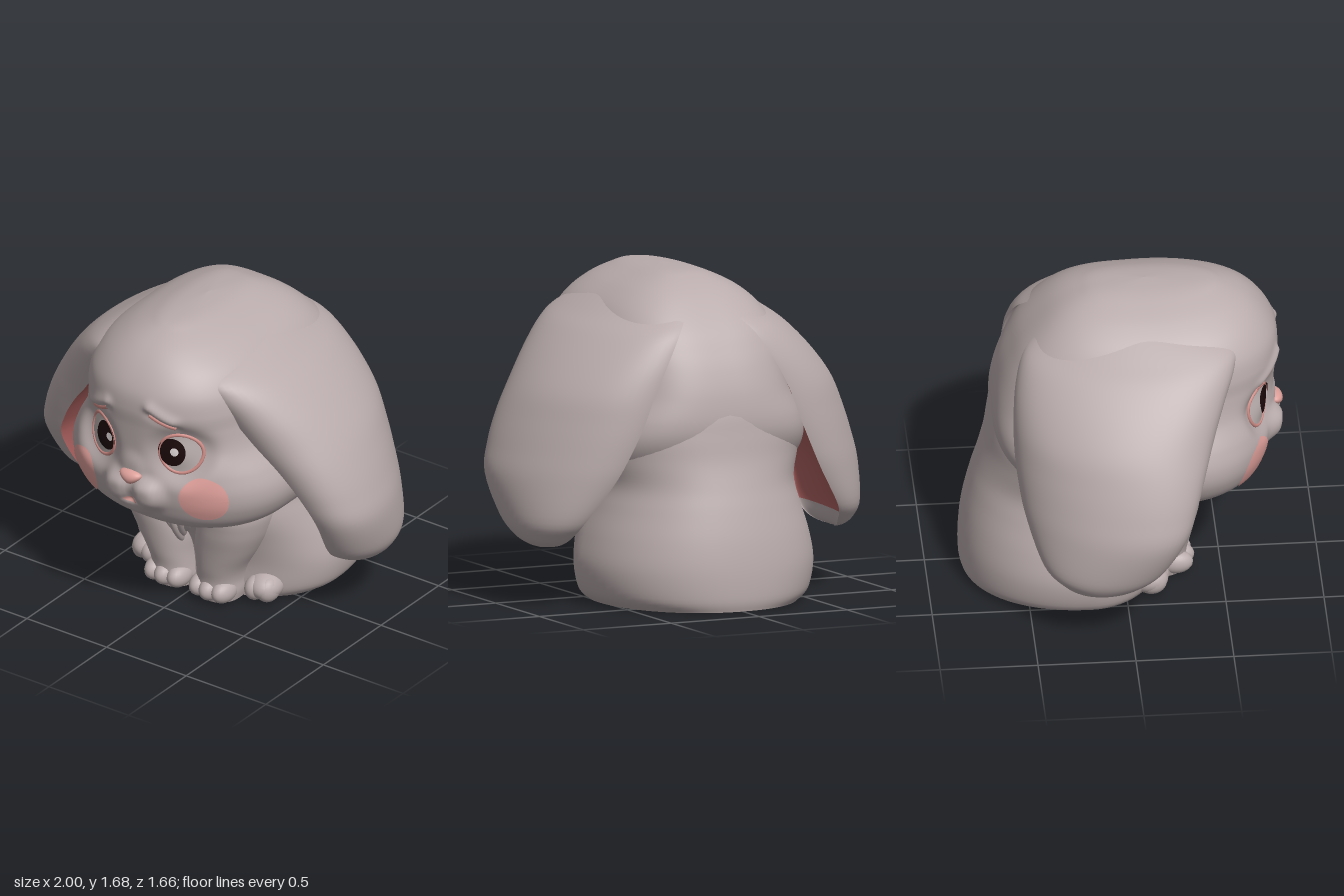
import * as THREE from 'three';

const mat = (name, color) => Object.assign(new THREE.MeshStandardMaterial({ color }), { name });
const fur = mat('fur grey', 0xb9abab);
const blush = mat('blush pink', 0xe0a09b);
const rimPink = mat('eyelid pink', 0xcf8c86);
const nosePink = mat('nose pink', 0xdc9f99);
const earPink = mat('inner ear rose', 0xac615f);
const basePink = mat('underside', 0xd7a4a2);
const eyeGrey = mat('eyeball', 0xbbb0af);
const dark = mat('iris dark', 0x1c0a0c);
const glint = mat('eye glint', 0xe6dddd);

// Smooth interpolation through a table of rows, u in 0..1
function sample(rows, u) {
  const t = u * (rows.length - 1), i = Math.min(Math.floor(t), rows.length - 2), f = t - i;
  const at = k => rows[Math.max(0, Math.min(rows.length - 1, k))];
  return rows[i].map((_, c) => {
    const [a, b, d, e] = [at(i - 1)[c], at(i)[c], at(i + 1)[c], at(i + 2)[c]];
    return b + 0.5 * f * (d - a + f * (2 * a - 5 * b + 4 * d - e + f * (3 * (b - d) + e - a)));
  });
}

// Closed skin through rings stacked upwards; pick() may send a cell to material group 1
function loft(nu, nv, point, pick = () => 0) {
  const pos = [], cells = [[], []];
  for (let i = 0; i <= nu; i++)
    for (let j = 0; j < nv; j++) pos.push(...point(i / nu, j / nv));
  for (let i = 0; i < nu; i++)
    for (let j = 0; j < nv; j++) {
      const a = i * nv + j, b = i * nv + (j + 1) % nv, c = a + nv, d = b + nv;
      cells[pick(i, j, pos[a * 3 + 1])].push(a, c, b, b, c, d);
    }
  const g = new THREE.BufferGeometry();
  g.setAttribute('position', new THREE.Float32BufferAttribute(pos, 3));
  g.setIndex([...cells[0], ...cells[1]]);
  g.addGroup(0, cells[0].length, 0);
  g.addGroup(cells[0].length, cells[1].length, 1);
  g.computeVertexNormals();
  return g;
}

function mirrored(geo) {
  const g = geo.clone(), p = g.attributes.position, ix = g.index.array;
  for (let i = 0; i < p.count; i++) p.setX(i, -p.getX(i));
  for (let i = 0; i < ix.length; i += 3) [ix[i + 1], ix[i + 2]] = [ix[i + 2], ix[i + 1]];
  g.computeVertexNormals();
  return g;
}

// Rounded ring from a row: y, centre x, half width, z of widest point, front z, back z
const pw = (v, n) => Math.sign(v) * Math.abs(v) ** (2 / n);
function ring(rows, n, backN = n) {
  return (u, v) => {
    const [y, cx, rx, mid, front, back] = sample(rows, u);
    const c = Math.cos(v * Math.PI * 2), s = Math.sin(v * Math.PI * 2), e = s > 0 ? n : backN;
    return [cx + rx * pw(c, e), Math.max(0, y), mid + (s > 0 ? front - mid : mid - back) * pw(s, e)];
  };
}

// Slightly uneven eyes; each brow runs from its inner to its outer end
const eyes = [
  { side: 'left', x: 0.238, y: 1.072, ix: 0.205, iy: 1.08, gx: 0.224, brow: [[0.115, 1.3], [0.235, 1.235]] },
  { side: 'right', x: -0.245, y: 1.03, ix: -0.208, iy: 1.043, gx: -0.175, brow: [[-0.155, 1.255], [-0.31, 1.17]] },
];

const HEAD_N = 2.25;
const headRows = [
  [0.535, 0, 0, 0.2, 0.2, 0.2], [0.545, 0, 0.26, 0.2, 0.46, -0.2], [0.58, 0, 0.43, 0.22, 0.6, -0.4],
  [0.65, 0, 0.55, 0.23, 0.7, -0.53], [0.75, 0, 0.615, 0.24, 0.745, -0.6], [0.85, 0, 0.63, 0.24, 0.765, -0.65],
  [0.95, 0, 0.6, 0.24, 0.77, -0.665], [1.08, 0, 0.53, 0.23, 0.78, -0.65], [1.2, 0, 0.505, 0.22, 0.79, -0.615],
  [1.3, 0, 0.5, 0.21, 0.8, -0.57], [1.4, 0, 0.475, 0.2, 0.785, -0.51], [1.5, 0, 0.41, 0.18, 0.725, -0.42],
  [1.58, 0, 0.31, 0.14, 0.64, -0.325], [1.635, 0, 0.2, 0.13, 0.53, -0.22], [1.665, 0, 0.11, 0.12, 0.42, -0.11],
  [1.678, 0, 0, 0.12, 0.12, 0.12],
];
const headTable = Array.from({ length: 201 }, (_, i) => sample(headRows, i / 200));

// Sculpted face relief: [x, y, radius x, radius y, height]
const bumps = [
  [0.092, 0.815, 0.082, 0.088, 0.062], [-0.092, 0.815, 0.082, 0.088, 0.062],
  [0, 0.715, 0.085, 0.045, 0.035], [0, 0.93, 0.075, 0.1, 0.02],
  ...eyes.map(e => [e.x * 1.08, e.y, 0.145, 0.15, -0.065]),
];
// Distance from (x, y) to a brow line
function browDistance([[ax, ay], [bx, by]], x, y) {
  const dx = bx - ax, dy = by - ay;
  const t = Math.max(0, Math.min(1, ((x - ax) * dx + (y - ay) * dy) / (dx * dx + dy * dy)));
  return Math.hypot(x - ax - t * dx, y - ay - t * dy);
}
function relief(x, y) {
  let z = 0;
  for (const [cx, cy, rx, ry, h] of bumps) z += h * Math.exp(-((((x - cx) / rx) ** 2 + ((y - cy) / ry) ** 2) ** 2));
  for (const e of eyes)
    z += 0.02 * Math.exp(-((browDistance(e.brow, x, y - 0.04) / 0.03) ** 2))
      - 0.008 * Math.exp(-((browDistance(e.brow, x, y) / 0.025) ** 2));
  return z;
}

// Front surface of the head at (x, y)
function headZ(x, y) {
  const i = Math.max(1, headTable.findIndex(r => r[0] >= y));
  const a = headTable[i - 1], b = headTable[i], f = (y - a[0]) / (b[0] - a[0]);
  const [rx, mid, front] = [2, 3, 4].map(k => a[k] + f * (b[k] - a[k]));
  return mid + (front - mid) * Math.max(0, 1 - Math.abs(x / rx) ** HEAD_N) ** (1 / HEAD_N) + relief(x, y);
}

export function createModel() {
  const model = new THREE.Group();
  model.name = 'rabbit';
  const add = (name, geo, material) => {
    const m = new THREE.Mesh(geo, material);
    m.name = name;
    model.add(m);
    return m;
  };
  const ball = (name, material, [x, y, z], [a, b, c]) => {
    const m = add(name, new THREE.SphereGeometry(1, 24, 16), material);
    m.position.set(x, y, z);
    m.scale.set(a, b, c);
    return m;
  };
  // Disc that hugs a surface zAt(x, y)
  const decal = (name, material, cx, cy, rx, ry, zAt, off) => {
    const g = new THREE.RingGeometry(0, 1, 40, 10), p = g.attributes.position;
    for (let i = 0; i < p.count; i++) {
      const x = cx + p.getX(i) * rx, y = cy + p.getY(i) * ry;
      p.setXYZ(i, x, y, zAt(x, y) + off);
    }
    g.computeVertexNormals();
    return add(name, g, material);
  };
  const tube = (name, material, pts, r, closed = false) =>
    add(name, new THREE.TubeGeometry(new THREE.CatmullRomCurve3(
      pts.map(p => new THREE.Vector3(...p)), closed), 48, r, 10, closed), material);
  // Flat underside closing a loft whose first ring lies on the ground
  const sole = (name, point) => {
    const pts = Array.from({ length: 48 }, (_, j) => point(0, j / 48)).map(p => new THREE.Vector2(p[0], p[2]));
    add(name, new THREE.ShapeGeometry(new THREE.Shape(pts)).rotateX(Math.PI / 2), basePink);
  };

  // Body, flowing up into the nape behind the head
  const bodyRing = ring([
    [0, 0, 0.52, -0.2, 0.2, -0.815], [0.06, 0, 0.59, -0.2, 0.2, -0.828], [0.2, 0, 0.62, -0.2, 0.21, -0.825],
    [0.35, 0, 0.595, -0.2, 0.27, -0.805], [0.5, 0, 0.55, -0.19, 0.36, -0.77], [0.62, 0, 0.525, -0.18, 0.38, -0.735],
    [0.75, 0, 0.56, -0.17, 0.32, -0.7], [0.88, 0, 0.585, -0.16, 0.25, -0.68], [1.02, 0, 0.54, -0.16, 0.2, -0.655],
    [1.2, 0, 0.4, -0.16, 0.1, -0.58],
  ], 2.1, 2.15);
  add('body', loft(48, 64, bodyRing), fur);
  sole('bodyUnderside', bodyRing);

  // Head with sculpted face
  const headRing = ring(headRows, HEAD_N, 3.2);
  add('head', loft(180, 220, (u, v) => {
    const [x, y, z] = headRing(u, v);
    return [x, y, v > 0 && v < 0.5 ? z + relief(x, y) : z];
  }), fur);

  // Ears: y, outer x, front rim x, back rim x, front z, back z
  const earRows = [
    [0.302, 0.835, 0.834, 0.833, -0.16, -0.18], [0.318, 0.88, 0.8, 0.79, -0.03, -0.29], [0.36, 0.93, 0.78, 0.76, 0.075, -0.37],
    [0.45, 0.972, 0.79, 0.72, 0.175, -0.455], [0.65, 0.998, 0.8, 0.59, 0.285, -0.53], [0.8, 0.965, 0.74, 0.51, 0.34, -0.56],
    [0.95, 0.91, 0.645, 0.44, 0.39, -0.575], [1.1, 0.835, 0.525, 0.38, 0.445, -0.575], [1.25, 0.725, 0.43, 0.3, 0.505, -0.56],
    [1.38, 0.6, 0.34, 0.22, 0.56, -0.52], [1.46, 0.49, 0.26, 0.15, 0.565, -0.45], [1.53, 0.38, 0.18, 0.08, 0.44, -0.37],
    [1.59, 0.27, 0.08, 0.02, 0.25, -0.28],
  ];
  const earPoint = (u, v) => {
    const [y, xo, xf, xb, zf, zb] = sample(earRows, u);
    const a = (v * 2 - 0.5) * Math.PI, s = Math.sin(a), c = Math.cos(a);
    const mid = (xf + xb) / 2, tilt = (xf - xb) / 2;
    const bulge = Math.sqrt(Math.max(0, (xo - mid) ** 2 - tilt ** 2));
    const x = mid + tilt * s + bulge * (c > 0 ? pw(c, s > 0 ? 2.3 : 2) : -0.12 * c);
    return [x, y, (zf + zb) / 2 + (zf - zb) / 2 * s];
  };
  const earGeo = loft(60, 64, earPoint, (i, j, y) => (j >= 33 && j < 60 && y > 0.4 && y < 1.3 ? 1 : 0));
  add('leftEar', earGeo, [fur, earPink]);
  add('rightEar', mirrored(earGeo), [fur, earPink]);

  // Front legs, paws and hind feet
  const legRing = ring([
    [0, 0.14, 0.11, 0.19, 0.31, 0.05], [0.05, 0.14, 0.122, 0.19, 0.325, 0.04], [0.12, 0.142, 0.122, 0.19, 0.328, 0.02],
    [0.2, 0.155, 0.134, 0.19, 0.345, 0.01], [0.32, 0.185, 0.172, 0.18, 0.365, 0], [0.45, 0.225, 0.19, 0.16, 0.385, -0.02],
    [0.58, 0.25, 0.18, 0.15, 0.38, -0.02], [0.68, 0.25, 0.08, 0.15, 0.25, 0.05],
  ], 2.2);
  const legGeo = loft(36, 40, legRing);
  for (const s of [1, -1]) {
    const side = s > 0 ? 'left' : 'right';
    add(side + 'FrontLeg', s > 0 ? legGeo : mirrored(legGeo), fur);
    for (let k = -1; k <= 1; k++)
      ball(side + 'FrontToe', fur, [s * (0.14 + k * 0.07), 0.063, 0.265 + (k ? 0 : 0.012)], [0.056, 0.063, 0.09]);
    const hind = ball(side + 'HindFoot', fur, [s * 0.355, 0.078, 0.1], [0.092, 0.077, 0.118]);
    hind.rotation.y = s * 0.3;
    ball(side + 'HindToe', fur, [s * 0.325, 0.069, 0.145], [0.056, 0.068, 0.078]);
    ball(side + 'HindToe', fur, [s * 0.39, 0.072, 0.13], [0.056, 0.071, 0.078]);
  }
  sole('leftPawUnderside', legRing);
  sole('rightPawUnderside', (u, v) => { const p = legRing(u, 1 - v); return [-p[0], p[1], p[2]]; });

  // Chest ruff of overlapping tufts
  for (let k = -4; k <= 4; k++) {
    const a = Math.abs(k);
    const tuft = ball('chestTuft', fur, [k * 0.034, 0.44 + a * 0.018, 0.395 - a * 0.006],
      [0.028, 0.13 - a * 0.009, 0.034]);
    tuft.rotation.set(0.45, 0, -k * 0.24);
  }

  // Eyes: rim, iris, glint and brow crease
  for (const e of eyes) {
    const rx = 0.1, ry = 0.11;
    const eyeZ = (x, y) => headZ(x, y) + 0.03 * Math.max(0, 1 - ((x - e.x) / rx) ** 2 - ((y - e.y) / ry) ** 2);
    const rim = Array.from({ length: 24 }, (_, i) => {
      const a = i / 24 * Math.PI * 2, x = e.x + rx * Math.cos(a), y = e.y + ry * Math.sin(a);
      return [x, y, headZ(x, y) + 0.002];
    });
    const [[ax, ay], [bx, by]] = e.brow;
    const crease = [0, 0.25, 0.5, 0.75, 1].map(t => {
      const x = ax + t * (bx - ax), y = ay + t * (by - ay);
      return [x, y, headZ(x, y) - 0.002];
    });
    decal(e.side + 'Eyeball', eyeGrey, e.x, e.y, rx, ry, eyeZ, 0.006);
    decal(e.side + 'Iris', dark, e.ix, e.iy, 0.069, 0.08, eyeZ, 0.011);
    decal(e.side + 'Glint', glint, e.gx, e.iy + 0.008, 0.021, 0.023, eyeZ, 0.016);
    tube(e.side + 'EyeRim', rimPink, rim, 0.01, true);
    tube(e.side + 'BrowCrease', rimPink, crease, 0.013);
  }

  // Cheeks
  decal('leftBlush', blush, 0.375, 0.835, 0.113, 0.125, headZ, 0.009);
  decal('rightBlush', blush, -0.375, 0.77, 0.113, 0.133, headZ, 0.009);

  // Mouth and heart-shaped nose
  decal('mouth', nosePink, 0, 0.768, 0.042, 0.015, headZ, 0.009);
  const noseGeo = new THREE.SphereGeometry(1, 32, 20), np = noseGeo.attributes.position;
  for (let i = 0; i < np.count; i++) np.setX(i, np.getX(i) * (0.75 + 0.4 * np.getY(i)));
  noseGeo.computeVertexNormals();
  const nose = add('nose', noseGeo, nosePink);
  nose.position.set(0, 0.905, 0.788);
  nose.scale.set(0.078, 0.04, 0.042);

  return model;
}
